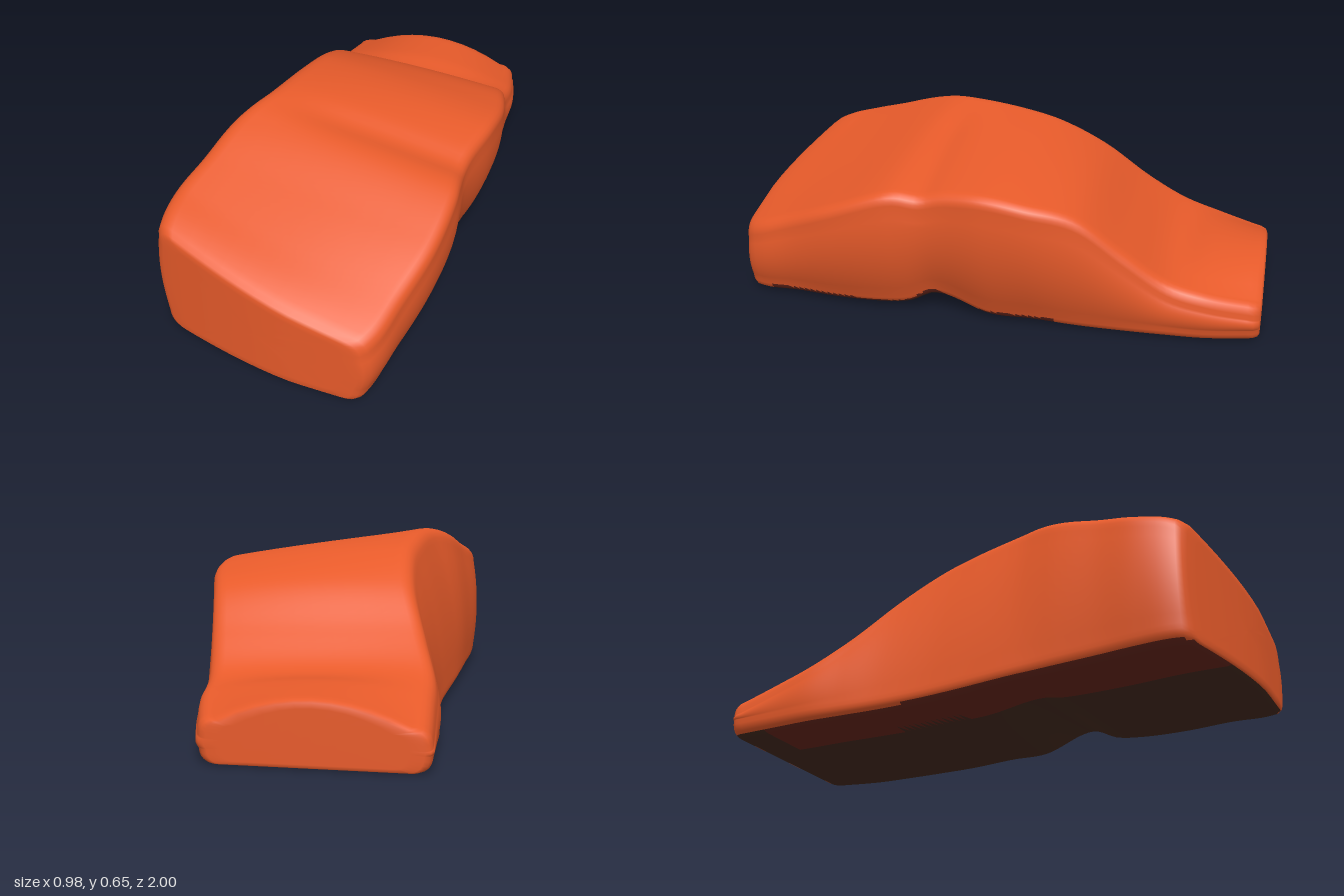
import * as THREE from 'three';

// Cross-sections from back to front:
// z, bottom x (two sides), lift of the bottom right, top left x/y, top right x/y, arch of the top
const SECTIONS = [
  [-1.00, -.44, .31, .00, -.44, .14, .32, .15, .085],
  [-0.80, -.44, .355, .00, -.43, .205, .37, .19, .045],
  [-0.65, -.44, .365, .00, -.42, .26, .38, .23, .00],
  [-0.50, -.43, .37, .00, -.37, .365, .41, .34, .00],
  [-0.33, -.42, .37, .00, -.31, .51, .45, .475, .01],
  [-0.15, -.42, .375, .01, -.29, .605, .495, .525, .01],
  [0.00, -.43, .375, .01, -.30, .64, .495, .545, .01],
  [0.23, -.45, .365, .07, -.335, .66, .46, .525, .005],
  [0.32, -.455, .375, .03, -.37, .65, .47, .525, .005],
  [0.40, -.46, .385, .02, -.40, .63, .48, .51, .005],
  [0.60, -.47, .38, .01, -.44, .575, .47, .435, .00],
  [0.80, -.48, .365, .01, -.475, .53, .42, .352, .00],
  [0.93, -.48, .35, .00, -.475, .50, .385, .30, .00],
  [1.00, -.465, .33, .00, -.465, .47, .345, .275, .00],
];
const EDGE = 10;   // divisions of each straight side
const FILLET = 6;  // divisions of each rounded corner

// Rounded four-sided outline, counter-clockwise seen from the front
function outline([bl, br, lift, tlx, tly, trx, tryy, arch]) {
  const corners = [[bl, 0], [br, lift], [trx, tryy], [tlx, tly]].map(c => new THREE.Vector2(...c));
  const radii = [.06, .05, .06, .07].map((r, k) =>
    Math.min(r, .45 * (k === 0 || k === 3 ? tly : tryy - lift)));
  // outward swell of bottom, right, top and left
  const swell = [[0, 0], [.06 * (tryy - lift), 0], [0, arch], [-.03 * tly, 0]];
  const toward = (a, b, r) => a.clone().add(b.clone().sub(a).setLength(r));
  const pts = [];
  corners.forEach((c, k) => {
    const k2 = (k + 1) % 4, next = corners[k2];
    const p = toward(c, corners[(k + 3) % 4], radii[k]), q = toward(c, next, radii[k]);
    pts.push(...new THREE.QuadraticBezierCurve(p, c, q).getPoints(FILLET));
    const end = toward(next, c, radii[k2]);
    for (let i = 1; i < EDGE; i++) {
      const t = i / EDGE, s = 4 * t * (1 - t);
      const m = q.clone().lerp(end, t);
      pts.push(m.set(m.x + s * swell[k][0], m.y + s * swell[k][1]));
    }
  });
  return pts;
}

// The front end is cut back towards one side
function place(p, z) {
  const cut = 0.11 * Math.pow(THREE.MathUtils.clamp((0.1 - p.x) / 0.56, 0, 1), 1.5);
  const zz = z - cut * THREE.MathUtils.smoothstep(z, 0.4, 1);
  // shallow valley across the top, behind a low ridge
  const valley = p.y > 0.4
    ? 0.018 * Math.exp(-Math.pow((z - 0.26) / 0.065, 2)) * THREE.MathUtils.smoothstep(p.x, -0.32, 0)
    : 0;
  return [p.x, p.y - valley, zz];
}

// Colour of a face: 0 orange, 1 dark underside, 2 maroon side of the underside and notch
function faceColour(centre, normal) {
  const { x, y, z } = centre;
  const middle = z > -0.25 && z < 0.9;
  if (normal.y < (middle ? -0.7 : -0.9) && y < 0.12) return x < -0.18 && z > -0.85 ? 2 : 1;
  const rim = 0.038 + 0.065 * Math.exp(-Math.pow((z - 0.23) / 0.07, 2));
  return middle && x > 0.2 && y < rim ? 2 : 0;
}

function bodyGeometry() {
  const spline = new THREE.CubicInterpolant(
    SECTIONS.map(s => s[0]), SECTIONS.flatMap(s => s.slice(1)), 8);
  const ringAt = (z, inset) => {
    const pts = outline(Array.from(spline.evaluate(z)));
    const mid = pts.reduce((m, p) => m.add(p), new THREE.Vector2()).divideScalar(pts.length);
    return pts.map(p => p.lerp(mid, inset)).map(p => place(p, z));
  };

  // Loft rings, with softened and closed ends
  const rings = [];
  const caps = [[1, .97], [1, .8], [1, .6], [1, .4], [1, .2], [1, .07], [.993, .025]];
  caps.forEach(([z, inset]) => rings.push(ringAt(-z, inset)));
  for (let i = 0; i <= 80; i++) rings.push(ringAt(-0.975 + 1.95 * i / 80, 0));
  [...caps].reverse().forEach(([z, inset]) => rings.push(ringAt(z, inset)));

  const n = rings[0].length, pos = rings.flat();
  const faces = [[], [], []];
  const addFace = (a, b, c) => {
    const [p, q, r] = [a, b, c].map(i => new THREE.Vector3(...pos[i]));
    const tri = new THREE.Triangle(p, q, r);
    const colour = faceColour(tri.getMidpoint(new THREE.Vector3()), tri.getNormal(new THREE.Vector3()));
    faces[colour].push(a, b, c);
  };
  for (let i = 0; i < rings.length - 1; i++) {
    for (let j = 0; j < n; j++) {
      const k = (j + 1) % n, a = i * n + j, b = i * n + k;
      addFace(a, b, b + n);
      addFace(a, b + n, a + n);
    }
  }
  // Close the small holes left at the centre of both ends
  const last = (rings.length - 1) * n;
  for (let j = 1; j < n - 1; j++) {
    addFace(0, j + 1, j);
    addFace(last, last + j, last + j + 1);
  }

  const geo = new THREE.BufferGeometry();
  geo.setAttribute('position', new THREE.Float32BufferAttribute(pos.flat(), 3));
  geo.setIndex(faces.flat());
  let start = 0;
  faces.forEach((f, m) => {
    geo.addGroup(start, f.length, m);
    start += f.length;
  });
  geo.computeVertexNormals();
  return geo;
}

export function createModel() {
  const material = (name, color) => {
    const m = new THREE.MeshStandardMaterial({ color });
    m.name = name;
    return m;
  };
  const group = new THREE.Group();
  group.name = 'curvedBlock';
  const body = new THREE.Mesh(bodyGeometry(), [
    material('orange', 0xeb5c2b),
    material('dark brown underside', 0x452a1f),
    material('maroon underside', 0x66261c),
  ]);
  body.name = 'body';
  group.add(body);
  return group;
}
